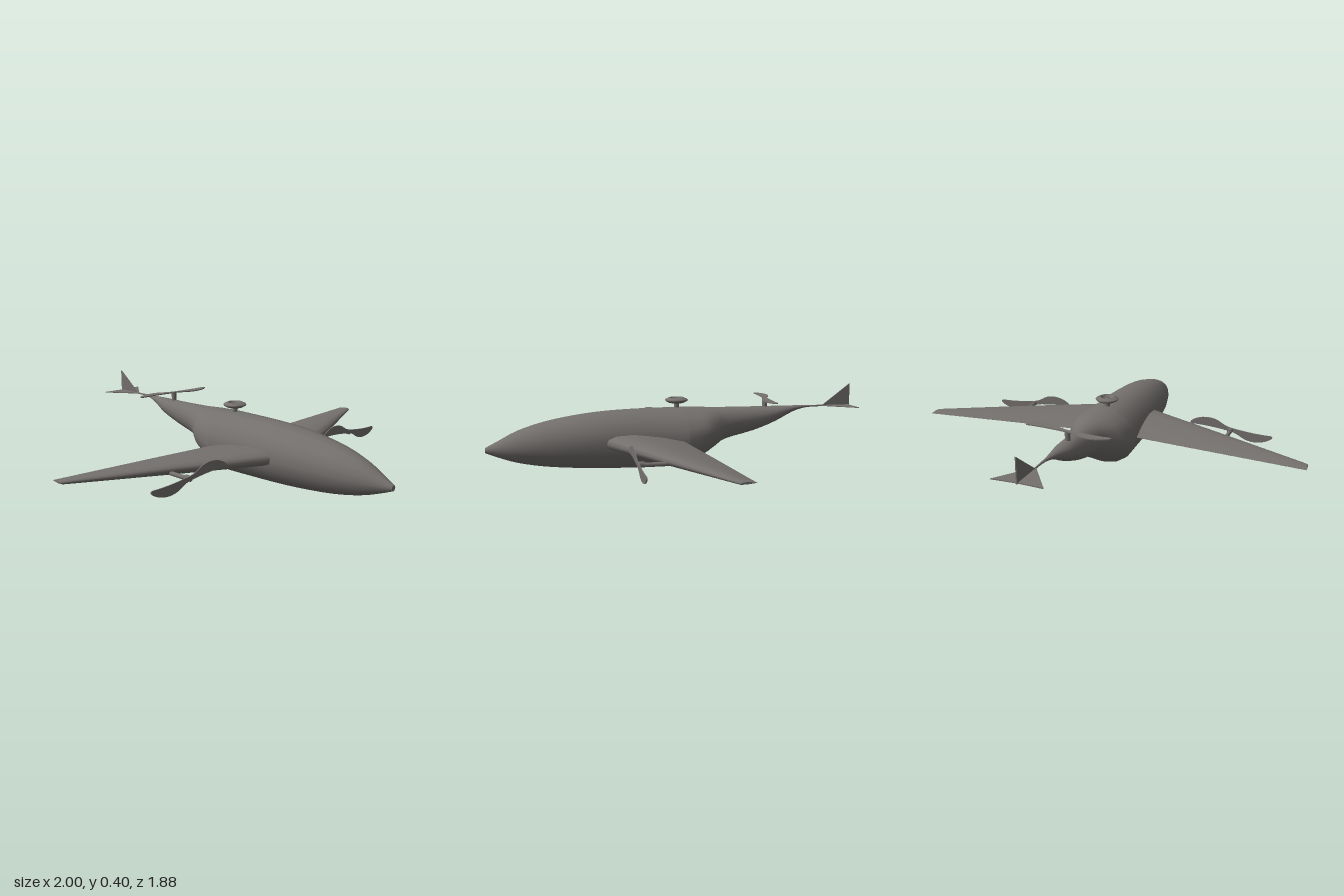
import * as THREE from 'three';

const material = new THREE.MeshStandardMaterial({ color: 0x74706e, side: THREE.DoubleSide });

function mesh(name, geometry, x = 0, y = 0, z = 0) {
  const m = new THREE.Mesh(geometry, material);
  m.name = name;
  m.position.set(x, y, z);
  return m;
}

// Skins a row of equal rings of [x, y, z] points and caps both ends.
function loft(rings) {
  const n = rings[0].length, last = rings.length - 1, index = [];
  const points = rings.flat();
  for (let i = 0; i < last; i++) {
    for (let j = 0; j < n; j++) {
      const a = i * n + j, b = i * n + (j + 1) % n;
      index.push(a, a + n, b, b, a + n, b + n);
    }
  }
  // Caps have their own vertices so the rims stay crisp
  const start = points.length, end = start + n;
  points.push(...rings[0], ...rings[last]);
  for (let j = 1; j < n - 1; j++) {
    index.push(start, start + j, start + j + 1, end, end + j + 1, end + j);
  }
  const g = new THREE.BufferGeometry();
  g.setAttribute('position', new THREE.Float32BufferAttribute(points.flat(), 3));
  g.setIndex(index);
  g.computeVertexNormals();
  return g;
}

// Fuselage stations: z, half width, bottom, top
const HULL = [
  [0.94, 0.013, 0.107, 0.133], [0.88, 0.04, 0.083, 0.164], [0.79, 0.076, 0.053, 0.21],
  [0.66, 0.111, 0.029, 0.251], [0.5, 0.135, 0.014, 0.28], [0.35, 0.146, 0.006, 0.295],
  [0.18, 0.15, 0.002, 0.301], [0, 0.16, 0.002, 0.302], [-0.05, 0.16, 0.017, 0.301],
  [-0.13, 0.15, 0.058, 0.298], [-0.19, 0.116, 0.095, 0.296], [-0.25, 0.083, 0.13, 0.294],
  [-0.4, 0.056, 0.166, 0.292], [-0.52, 0.045, 0.21, 0.291], [-0.62, 0.02, 0.258, 0.29],
  [-0.7, 0.007, 0.278, 0.289], [-0.8, 0.004, 0.28, 0.288], [-0.94, 0.004, 0.28, 0.287],
];

// Smooth curves through the stations give the rings in between
function fuselage() {
  const sides = 16, steps = (HULL.length - 1) * 3;
  const [width, bottom, top] = [1, 2, 3].map((k) =>
    new THREE.SplineCurve(HULL.map((s) => new THREE.Vector2(s[0], s[k]))));
  return loft(Array.from({ length: steps + 1 }, (_, i) => {
    const { x: z, y: w } = width.getPoint(i / steps);
    const low = bottom.getPoint(i / steps).y, high = top.getPoint(i / steps).y;
    return Array.from({ length: sides }, (_, j) => {
      const a = (j / sides) * Math.PI * 2;
      return [w * Math.cos(a), (high + low) / 2 + ((high - low) / 2) * Math.sin(a), z];
    });
  }));
}

// Airfoil: fraction of chord from the trailing edge, fraction of half thickness
const AIRFOIL = [
  [0, 0], [0.3, -0.45], [0.65, -0.85], [0.87, -0.9], [0.97, -0.55], [1, 0],
  [0.97, 0.5], [0.87, 0.88], [0.65, 1], [0.3, 0.6], [0, 0.02],
];
// Wing stations: x, trailing edge z, leading edge z, half thickness, height
const WING = [
  [0.05, 0.005, 0.415, 0.042, 0.153], [0.16, -0.003, 0.365, 0.04, 0.153],
  [0.55, -0.042, 0.185, 0.027, 0.153], [0.95, -0.08, 0.003, 0.01, 0.152],
  [0.99, -0.084, -0.015, 0.008, 0.152], [1, -0.085, -0.025, 0.005, 0.152],
];

function wing(side) {
  return loft(WING.map(([x, back, front, h, y]) => {
    const ring = AIRFOIL.map(([c, t]) => [side * x, y + t * h, back + c * (front - back)]);
    return side > 0 ? ring : ring.reverse();
  }));
}

function plate(shape, thickness) {
  const g = new THREE.ExtrudeGeometry(shape, { depth: thickness, bevelEnabled: false, curveSegments: 10 });
  return g.translate(0, 0, -thickness / 2);
}

// Two broad blades in the xy plane, half a turn apart
function propeller(name) {
  const s = new THREE.Shape();
  s.moveTo(0, 0.01);
  s.bezierCurveTo(0.05, 0.002, 0.12, -0.008, 0.207, -0.007);
  s.quadraticCurveTo(0.22, -0.012, 0.21, -0.023);
  s.bezierCurveTo(0.17, -0.056, 0.1, -0.06, 0.06, -0.036);
  s.quadraticCurveTo(0.03, -0.016, 0, -0.01);
  const group = new THREE.Group();
  group.name = name;
  for (const turn of [0, Math.PI]) {
    const blade = mesh('blade', plate(s, 0.005));
    blade.rotation.z = turn;
    group.add(blade);
  }
  return group;
}

function triangle(...corners) {
  return new THREE.Shape(corners.map(([x, y]) => new THREE.Vector2(x, y)));
}

export function createModel() {
  const model = new THREE.Group();
  model.name = 'aircraft';
  model.add(mesh('fuselage', fuselage()));

  // Wings, each with a forward shaft and propeller
  for (const side of [1, -1]) {
    const label = side > 0 ? 'left' : 'right';
    model.add(mesh(label + 'Wing', wing(side)));

    const shaft = new THREE.CylinderGeometry(0.01, 0.01, 0.2, 12).rotateX(Math.PI / 2);
    model.add(mesh(label + 'Shaft', shaft, side * 0.567, 0.142, 0.19));
    const hub = new THREE.CylinderGeometry(0.013, 0.013, 0.03, 12).rotateX(Math.PI / 2);
    model.add(mesh(label + 'Hub', hub, side * 0.567, 0.145, 0.284));

    const prop = propeller(label + 'Propeller');
    prop.position.set(side * 0.567, 0.148, 0.297);
    prop.rotation.y = side > 0 ? 0 : Math.PI;
    model.add(prop);
  }

  // Rear lifting rotor on its mast
  model.add(mesh('rotorMast', new THREE.CylinderGeometry(0.013, 0.013, 0.055, 12), 0, 0.305, -0.468));
  const rotor = propeller('rearRotor');
  rotor.position.set(0, 0.333, -0.47);
  rotor.rotation.x = -Math.PI / 2;
  model.add(rotor);

  // Ring shaped sensor pod above the centre
  const pod = [[0, 0.324], [0.038, 0.324], [0.055, 0.333], [0.058, 0.338], [0.055, 0.342],
    [0.038, 0.35], [0.03, 0.349], [0.024, 0.331], [0.014, 0.331], [0.012, 0.342], [0, 0.342]];
  model.add(mesh('sensorPod', new THREE.LatheGeometry(pod.map(([r, y]) => new THREE.Vector2(r, y)), 24)));
  model.add(mesh('sensorMast', new THREE.CylinderGeometry(0.013, 0.013, 0.04, 12), 0, 0.308, 0));

  // Tail surfaces
  const tailplane = plate(triangle([0, 0.775], [0.118, 0.94], [0, 0.934], [-0.118, 0.94]), 0.004);
  model.add(mesh('tailplane', tailplane.rotateX(Math.PI / 2).scale(1, 1, -1).rotateZ(Math.PI), 0, 0.284, 0));
  const fin = plate(triangle([0.785, 0.284], [0.94, 0.284], [0.94, 0.398]), 0.005);
  model.add(mesh('tailFin', fin.rotateY(Math.PI / 2)));
  return model;
}
